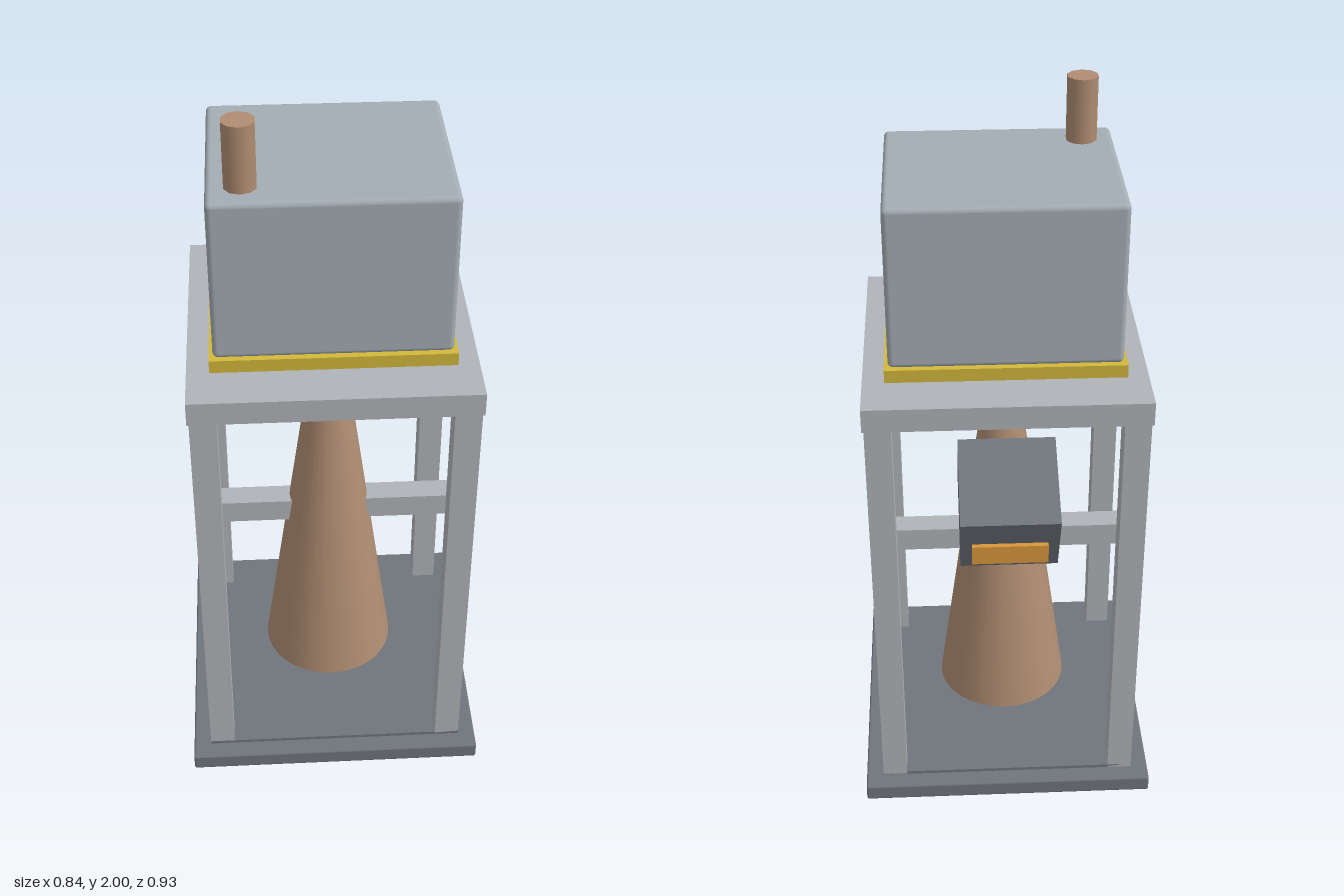
import * as THREE from 'three';
import { RoundedBoxGeometry } from 'three/addons/geometries/RoundedBoxGeometry.js';

const paint = (color) => new THREE.MeshStandardMaterial({ color });
const slate = paint(0x70747c), steel = paint(0xb0b3b8), housing = paint(0xa4adb4);
const copper = paint(0xb08d72), yellow = paint(0xd2b83c), orange = paint(0xd8963c);
const grey = paint(0xcccccc);

export function createModel() {
  const model = new THREE.Group();
  const tower = new THREE.Group();
  tower.name = 'tower';
  tower.position.z = 0.046; // the rear unit overhangs the back
  model.add(tower);

  const add = (name, geometry, material, x, y, z, parent = tower) => {
    const mesh = new THREE.Mesh(geometry, material);
    mesh.name = name;
    mesh.position.set(x, y, z);
    parent.add(mesh);
    return mesh;
  };
  const box = (w, h, d) => new THREE.BoxGeometry(w, h, d);

  // Base slab with a thin raised plate
  add('base', new RoundedBoxGeometry(0.84, 0.05, 0.84, 2, 0.006), slate, 0, 0.025, 0);
  add('basePlate', box(0.74, 0.012, 0.74), slate, 0, 0.054, 0);

  // Frame: four legs, a table top and a crossbar
  for (const sx of [-1, 1]) {
    for (const sz of [-1, 1]) {
      add('leg', box(0.07, 1.22, 0.07), steel, sx * 0.335, 0.66, sz * 0.335);
    }
  }
  add('tableTop', box(0.75, 0.066, 0.75), steel, 0, 1.298, 0);
  add('crossbar', box(0.75, 0.07, 0.07), steel, 0, 0.67, 0);

  // Collar under the table and the tapered column hanging from it
  add('collar', new THREE.CylinderGeometry(0.227, 0.227, 0.09, 32), grey, 0, 1.222, 0);
  add('cone', new THREE.CylinderGeometry(0.048, 0.19, 1.04, 32), copper, 0, 0.66, 0);

  // Housing on its floating yellow band, with a short pipe
  add('yellowBand', box(0.63, 0.036, 0.542), yellow, 0, 1.367, 0);
  add('housing', new RoundedBoxGeometry(0.61, 0.442, 0.522, 3, 0.014), housing, 0, 1.605, 0);
  add('pipe', new THREE.CylinderGeometry(0.042, 0.042, 0.2, 10), copper, -0.22, 1.9, 0.174);

  // Tilted unit at the back with its orange bar
  const unit = add('rearUnit', box(0.26, 0.213, 0.264), slate, 0, 1.02, -0.302, model);
  unit.rotation.x = -0.43;
  add('orangeBar', box(0.2, 0.054, 0.016), orange, 0, 0.948, -0.433, model);

  return model;
}
